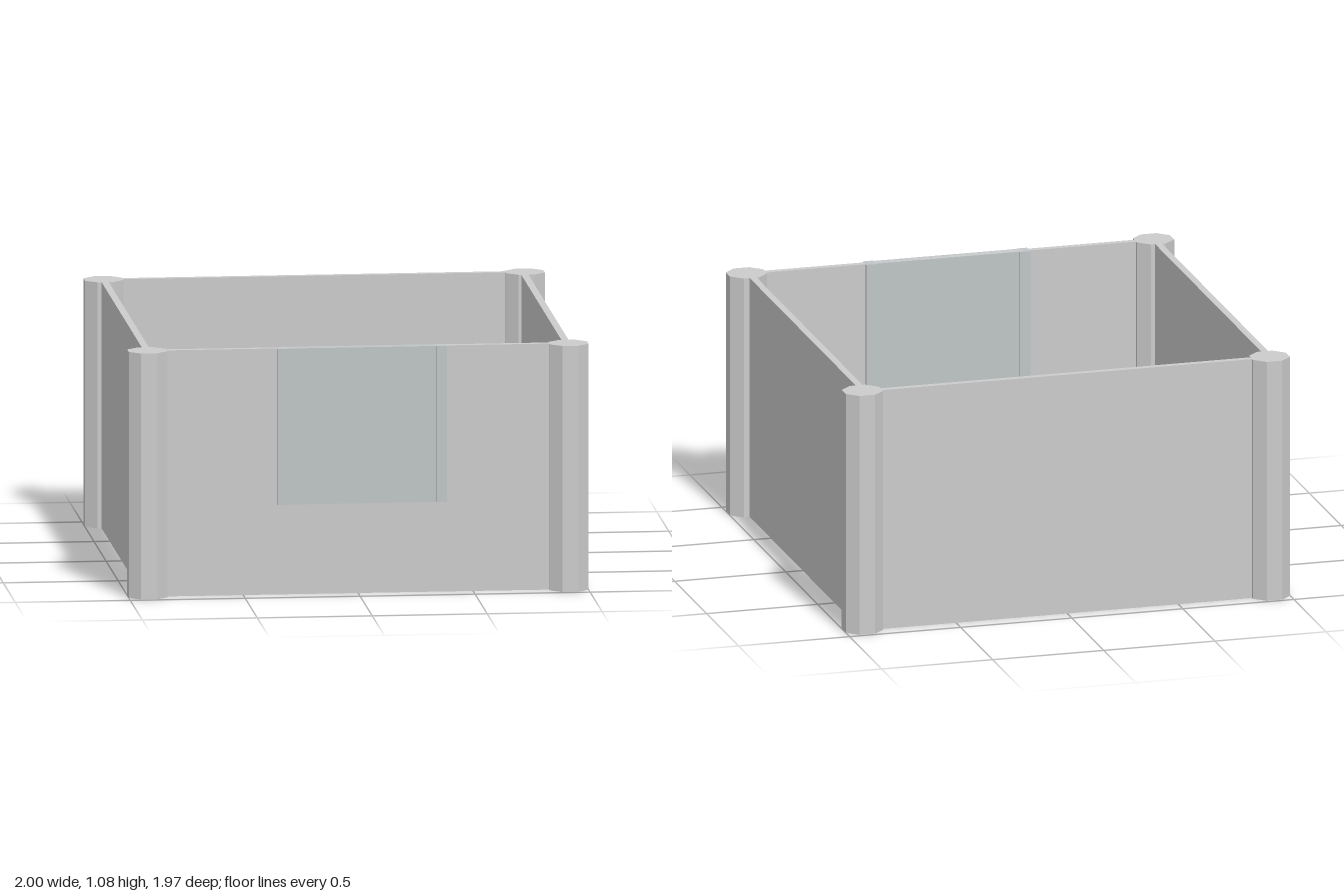
import * as THREE from 'three';

const HEIGHT = 1.08;

export function createModel() {
  const group = new THREE.Group();
  const grey = new THREE.MeshStandardMaterial({ color: 0xcccccc, flatShading: true });
  const tinted = new THREE.MeshStandardMaterial({ color: 0xbfc5c6, flatShading: true });

  const add = (name, geometry, material = grey) => {
    const mesh = new THREE.Mesh(geometry, material);
    mesh.name = name;
    group.add(mesh);
    return mesh;
  };

  // Box given by its limits on each axis
  const slab = (name, x0, x1, y0, y1, z0, z1, material) =>
    add(name, new THREE.BoxGeometry(x1 - x0, y1 - y0, z1 - z0), material)
      .position.set((x0 + x1) / 2, (y0 + y1) / 2, (z0 + z1) / 2);

  // Eight-sided corner posts, slightly wider than deep
  const postGeometry = new THREE.CylinderGeometry(0.09, 0.09, HEIGHT, 8);
  postGeometry.rotateY(Math.PI / 8);
  postGeometry.scale(1.01, 1, 0.94);
  for (const [side, x] of [['Left', 0.916], ['Right', -0.916]]) {
    for (const [end, z] of [['front', 0.907], ['back', -0.909]]) {
      add(`${end}${side}Post`, postGeometry).position.set(x, HEIGHT / 2, z);
    }
  }

  // Thin walls between the posts
  slab('frontWall', -0.9, 0.9, 0, HEIGHT, 0.888, 0.917);
  slab('backWall', -0.9, 0.9, 0, HEIGHT, -0.929, -0.9);
  slab('leftWall', 0.893, 0.924, 0, HEIGHT, -0.9, 0.9);
  slab('rightWall', -0.932, -0.901, 0, HEIGHT, -0.9, 0.9);

  // Sliding hatch in the front wall, held by a rail on each side
  slab('hatch', -0.31, 0.342, 0.395, HEIGHT, 0.882, 0.926, tinted);
  slab('rightHatchRail', -0.353, -0.306, 0.395, HEIGHT, 0.877, 0.932, tinted);
  slab('leftHatchRail', 0.338, 0.385, 0.395, HEIGHT, 0.877, 0.932, tinted);

  return group;
}
